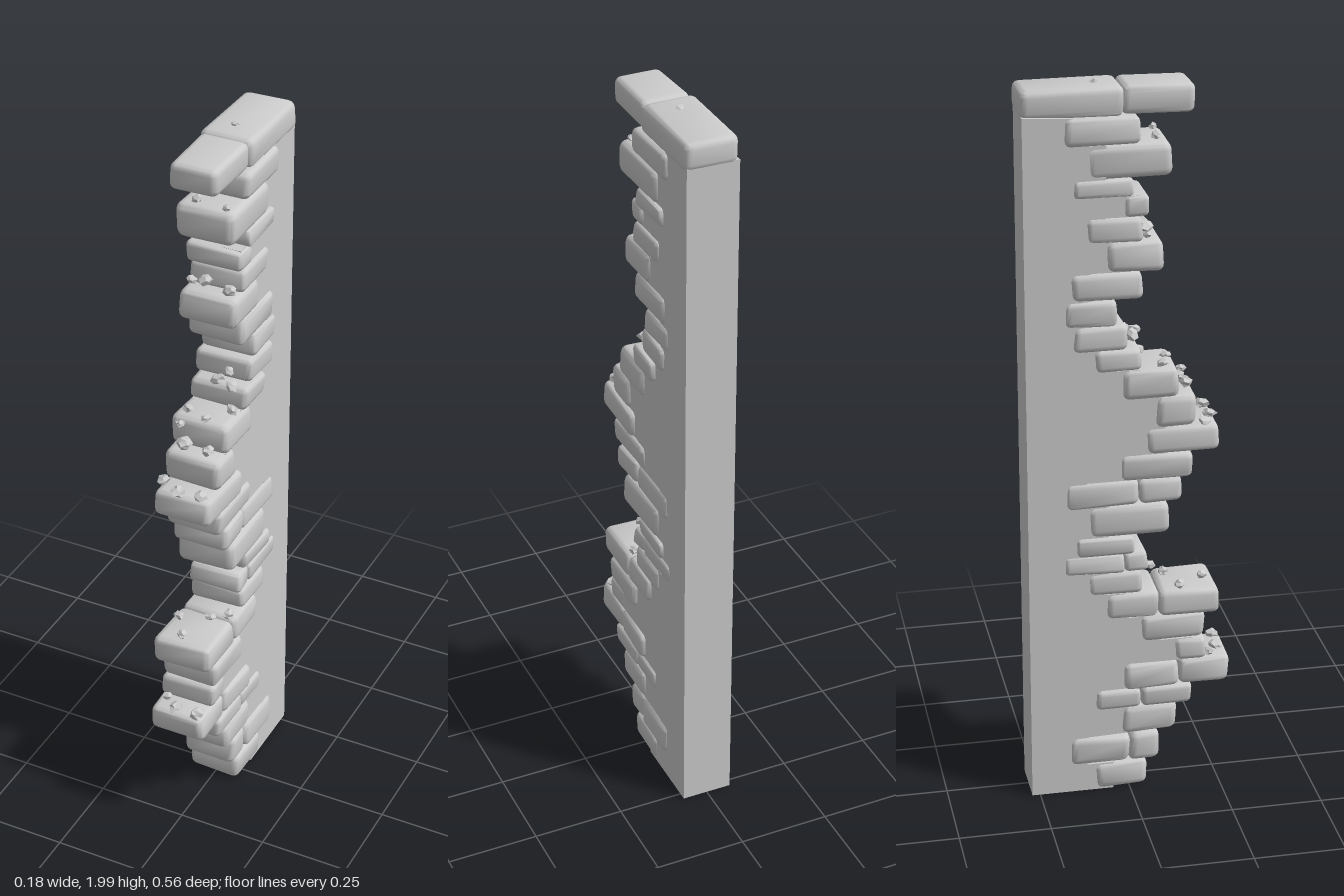
import * as THREE from 'three';
import { mergeVertices, toCreasedNormals } from 'three/addons/utils/BufferGeometryUtils.js';
import { RoundedBoxGeometry } from 'three/addons/geometries/RoundedBoxGeometry.js';

// Courses from the ground up: [bottom y, top y, front z, (joint z,) back z]
const COURSES = [
  [0.005, 0.08, 0.05, -0.095],
  [0.08, 0.165, 0.08, 0.0, -0.165],
  [0.17, 0.25, 0.13, -0.02],
  [0.25, 0.305, 0.175, 0.03, -0.09],
  [0.305, 0.38, 0.278, 0.135, -0.015],
  [0.38, 0.445, 0.21, 0.125],
  [0.445, 0.52, 0.21, 0.035],
  [0.52, 0.595, 0.248, 0.08, -0.06],
  [0.595, 0.66, 0.035, -0.11],
  [0.66, 0.715, 0.05, -0.015, -0.178],
  [0.715, 0.765, 0.01, -0.14],
  [0.765, 0.855, 0.11, -0.11],
  [0.855, 0.925, 0.14, 0.025, -0.165],
  [0.925, 0.995, 0.17, -0.02],
  [0.995, 1.07, 0.24, 0.045],
  [1.07, 1.155, 0.18, 0.07],
  [1.155, 1.235, 0.13, -0.02],
  [1.235, 1.295, 0.03, -0.09],
  [1.295, 1.36, -0.01, -0.145],
  [1.36, 1.43, -0.03, -0.168],
  [1.43, 1.505, 0.035, -0.15],
  [1.505, 1.585, 0.09, -0.06],
  [1.585, 1.65, 0.035, -0.112],
  [1.65, 1.705, 0.05, -0.015],
  [1.705, 1.75, 0.01, -0.14],
  [1.75, 1.84, 0.11, -0.11],
  [1.84, 1.91, 0.025, -0.165],
];

// Loose chips: [x, y, z, size]
const CHIPS = [
  [0.0, 1.982, -0.08, 0.018],
  [-0.03, 1.848, 0.075, 0.018], [0.055, 1.846, 0.085, 0.016],
  [-0.02, 1.61, 0.05, 0.026], [0.05, 1.6, 0.055, 0.022], [-0.06, 1.598, 0.045, 0.016],
  [0.0, 1.305, 0.02, 0.026], [0.045, 1.305, 0.035, 0.024], [0.02, 1.325, 0.0, 0.018],
  [-0.05, 1.245, 0.09, 0.02], [0.055, 1.245, 0.05, 0.02], [0.01, 1.24, 0.11, 0.018],
  [-0.03, 1.18, 0.155, 0.026], [0.035, 1.172, 0.15, 0.022], [-0.05, 1.225, 0.14, 0.016],
  [-0.07, 1.08, 0.2, 0.022], [-0.015, 1.078, 0.225, 0.024], [0.05, 1.08, 0.22, 0.024],
  [-0.06, 0.605, 0.14, 0.02], [0.06, 0.61, 0.08, 0.02], [-0.015, 0.605, 0.21, 0.018], [0.02, 0.608, 0.11, 0.02],
  [-0.015, 0.385, 0.25, 0.024], [0.05, 0.388, 0.255, 0.024], [-0.055, 0.39, 0.225, 0.018],
  [-0.02, 0.3, 0.23, 0.018],
];

export function createModel() {
  const model = new THREE.Group();
  const stone = new THREE.MeshStandardMaterial({ color: 0xcccccc });
  const chipStone = new THREE.MeshStandardMaterial({ color: 0xcccccc, flatShading: true });
  let seed = 11;
  const rand = () => (seed = (seed * 16807) % 2147483647) / 2147483647;
  const jitter = (a) => (rand() * 2 - 1) * a;

  // Worn block: a rounded box whose eight corners are nudged unevenly
  function addBlock(name, parent, x0, x1, y0, y1, z0, z1, wear) {
    const w = x1 - x0, h = y1 - y0, d = z1 - z0;
    const geo = new RoundedBoxGeometry(w, h, d, 2, Math.min(h, d) * 0.24);
    geo.deleteAttribute('uv');
    geo.deleteAttribute('normal');
    const nudge = Array.from({ length: 8 }, () => new THREE.Vector3(jitter(wear), jitter(wear * 0.6), jitter(wear)));
    const p = geo.attributes.position;
    const v = new THREE.Vector3();
    for (let i = 0; i < p.count; i++) {
      v.fromBufferAttribute(p, i);
      const f = [v.x / w + 0.5, v.y / h + 0.5, v.z / d + 0.5];
      nudge.forEach((n, c) => {
        const k = f.reduce((s, t, a) => s * ((c >> a) & 1 ? t : 1 - t), 1);
        v.addScaledVector(n, k);
      });
      p.setXYZ(i, v.x, v.y, v.z);
    }
    const mesh = new THREE.Mesh(toCreasedNormals(mergeVertices(geo), 0.7), stone);
    mesh.name = name;
    mesh.position.set((x0 + x1) / 2, (y0 + y1) / 2, (z0 + z1) / 2);
    parent.add(mesh);
  }

  // Plain wall core, its front edge stepped to stay inside the blocks
  const outline = new THREE.Shape();
  outline.moveTo(0.272, 0);
  COURSES.forEach((c, i) => {
    const edge = -(c[c.length - 1] + 0.05);
    outline.lineTo(edge, i ? c[0] : 0);
    outline.lineTo(edge, c[1]);
  });
  outline.lineTo(0.272, 1.92);
  const coreGeo = new THREE.ExtrudeGeometry(outline, { depth: 0.14, bevelEnabled: false });
  coreGeo.translate(0, 0, -0.07).rotateY(Math.PI / 2);
  const core = new THREE.Mesh(coreGeo, stone);
  core.name = 'wallCore';
  model.add(core);

  // Broken edge of staggered blocks
  const blocks = new THREE.Group();
  blocks.name = 'edgeBlocks';
  COURSES.forEach(([y0, y1, ...z]) => {
    for (let i = 0; i + 1 < z.length; i++) {
      const half = 0.08 + jitter(0.003), shift = jitter(0.003);
      addBlock('edgeBlock', blocks, shift - half, shift + half, y0 - 0.001, y1 + 0.001, z[i + 1], z[i], 0.005);
    }
  });
  model.add(blocks);

  // Two coping stones on top
  addBlock('frontCoping', model, -0.06, 0.072, 1.91, 1.984, -0.015, 0.17, 0.004);
  addBlock('backCoping', model, -0.068, 0.075, 1.91, 1.986, -0.275, -0.012, 0.004);

  // Loose chips lying on the ledges
  const chips = new THREE.Group();
  chips.name = 'looseChips';
  CHIPS.forEach(([x, y, z, r]) => {
    const geo = new THREE.DodecahedronGeometry(r, 0);
    geo.deleteAttribute('uv');
    geo.deleteAttribute('normal');
    const chipGeo = mergeVertices(geo, 1e-5);
    const p = chipGeo.attributes.position;
    for (let i = 0; i < p.count; i++) {
      const k = 0.85 + jitter(0.2);
      p.setXYZ(i, p.getX(i) * k, p.getY(i) * k * 0.7, p.getZ(i) * k * 0.85);
    }
    chipGeo.computeVertexNormals();
    const chip = new THREE.Mesh(chipGeo, chipStone);
    chip.name = 'chip';
    chip.position.set(x, y, z);
    chip.rotation.set(jitter(0.5), jitter(3), jitter(0.5));
    chips.add(chip);
  });
  model.add(chips);
  return model;
}
